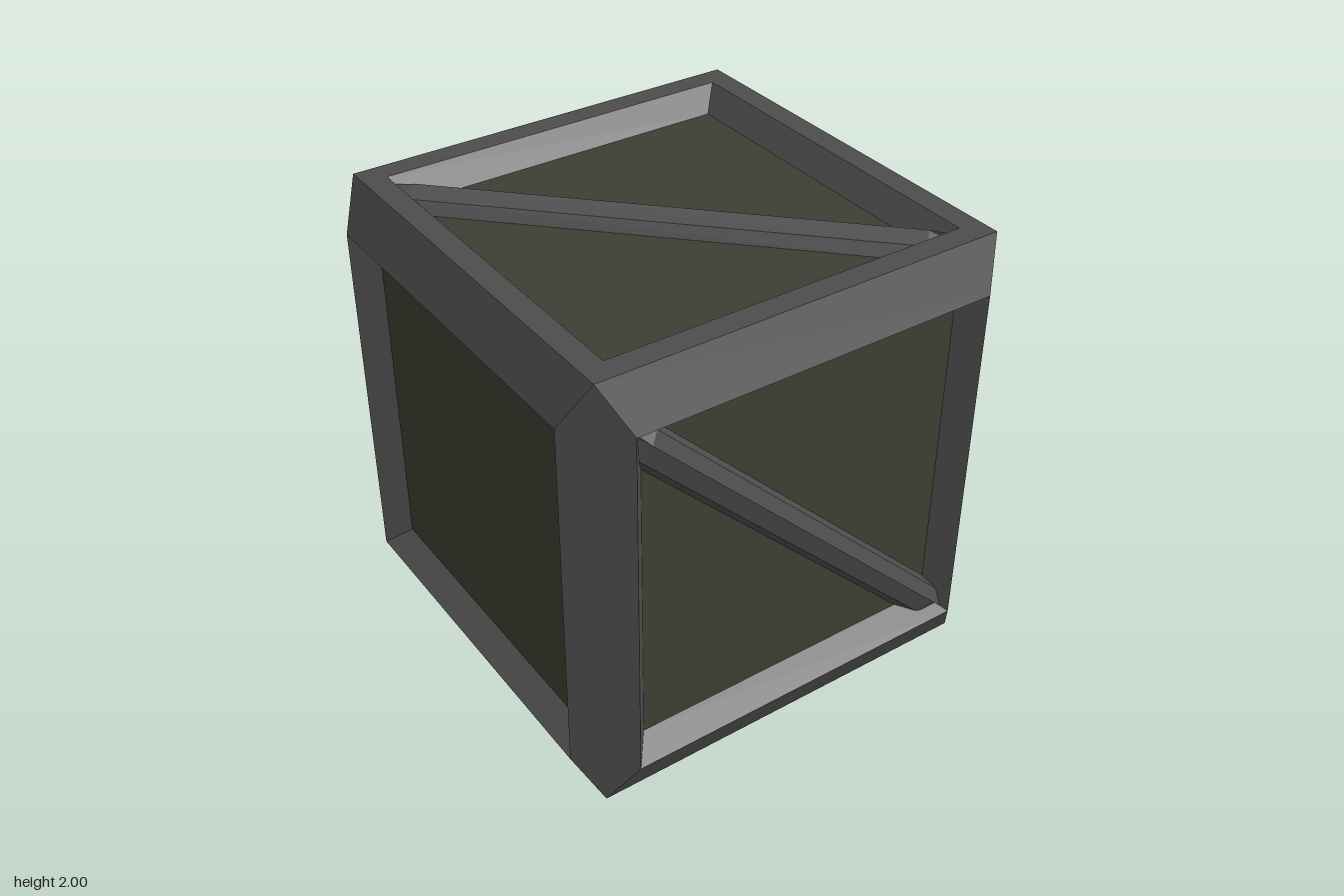
import * as THREE from 'three';

const frameMat = new THREE.MeshStandardMaterial({ color: 0x4d4d4d, flatShading: true });
const panelMat = new THREE.MeshStandardMaterial({ color: 0x3f3e33, flatShading: true });

// Faceted geometry from convex polygons, each fanned into triangles
function facets(polygons) {
  const pos = [];
  for (const p of polygons) {
    for (let i = 1; i < p.length - 1; i++) pos.push(...p[0], ...p[i], ...p[i + 1]);
  }
  const g = new THREE.BufferGeometry();
  g.setAttribute('position', new THREE.Float32BufferAttribute(pos, 3));
  g.computeVertexNormals();
  return g;
}

function add(parent, name, geometry, material) {
  const mesh = new THREE.Mesh(geometry, material);
  mesh.name = name;
  parent.add(mesh);
  return mesh;
}

// Square ring: a four-sided lathe, profile given as [half width, height]
function squareRing(profile) {
  const pts = profile.map(([w, h]) => new THREE.Vector2(w * Math.SQRT2, h));
  const g = new THREE.LatheGeometry(pts, 4, Math.PI / 4).toNonIndexed();
  g.computeVertexNormals();
  return g;
}

// Diagonal brace: ridged section swept along x with pointed ends, turned to 45 degrees
function braceGeometry(tip) {
  const section = [[0.067, 0.895], [0.053, 0.95], [0, 0.98], [-0.075, 0.95], [-0.107, 0.895]];
  const stations = [[-tip, 0.05], [0.09 - tip, 1], [tip - 0.09, 1], [tip, 0.05]];
  const at = ([x, s], [p, h]) => [x, h - (s < 1 ? 0.01 : 0), -p * s];
  const quads = [];
  for (let i = 0; i < 3; i++) {
    for (let j = 0; j < 4; j++) {
      const a = stations[i], b = stations[i + 1], p = section[j], q = section[j + 1];
      quads.push([at(a, p), at(a, q), at(b, q), at(b, p)]);
    }
  }
  return facets(quads).rotateY(-Math.PI / 4);
}

export function createModel() {
  const root = new THREE.Group();
  root.name = 'crate';
  const body = new THREE.Group();
  body.name = 'crateBody';
  body.position.y = 1;
  root.add(body);

  // Bevelled outer beams, one set per quarter turn
  const post = facets([[[0.9, 1, 0.9], [0.8, 0.8, 1], [0.8, -0.8, 1],
    [0.9, -1, 0.9], [1, -0.8, 0.8], [1, 0.8, 0.8]]]);
  const rails = facets([
    [[-0.9, 1, 0.9], [-0.8, 0.8, 1], [0.8, 0.8, 1], [0.9, 1, 0.9]],
    [[-0.8, -0.8, 1], [-0.9, -1, 0.9], [0.9, -1, 0.9], [0.8, -0.8, 1]],
  ]);
  for (let i = 0; i < 4; i++) {
    add(body, 'cornerPost', post, frameMat).rotation.y = i * Math.PI / 2;
    add(body, 'edgeRails', rails, frameMat).rotation.y = i * Math.PI / 2;
  }

  // Six sides: recess walls, sunken panel and, on four of them, a brace
  const H = Math.PI / 2;
  const sides = [
    { name: 'top', rot: [0, 0, 0], rim: true, brace: 1.11, turn: 0 },
    { name: 'bottom', rot: [Math.PI, 0, 0], rim: true, brace: 1.11, turn: H },
    { name: 'front', rot: [H, 0, 0], brace: 1.11, turn: 0 },
    { name: 'back', rot: [-H, 0, 0], brace: 1.17, turn: H },
    { name: 'left', rot: [0, 0, -H] },
    { name: 'right', rot: [0, 0, H] },
  ];
  for (const s of sides) {
    const side = new THREE.Group();
    side.name = s.name + 'Side';
    side.rotation.set(...s.rot);
    body.add(side);
    const profile = [[0.8, 1], [0.72, 0.9]];
    if (s.rim) profile.unshift([0.9, 1]);
    add(side, s.name + 'Recess', squareRing(profile), frameMat);
    const panel = new THREE.PlaneGeometry(1.44, 1.44).rotateX(-H).translate(0, 0.9, 0);
    add(side, s.name + 'Panel', panel, panelMat);
    if (s.brace) add(side, s.name + 'Brace', braceGeometry(s.brace), frameMat).rotation.y = s.turn;
  }
  return root;
}
